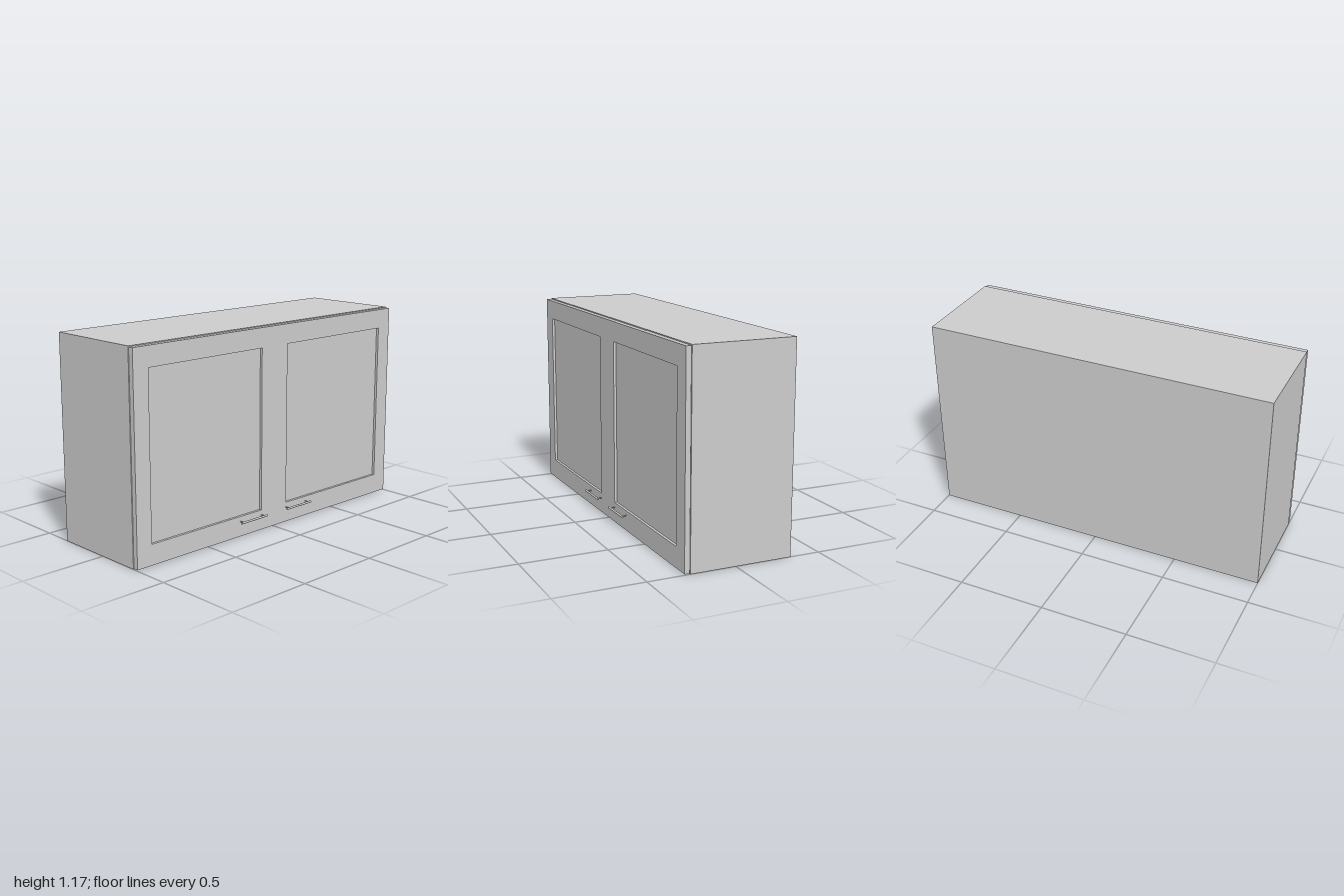
import * as THREE from 'three';

const material = new THREE.MeshStandardMaterial({ color: 0xcccccc });

function addMesh(parent, name, geometry, x, y, z) {
  const mesh = new THREE.Mesh(geometry, material);
  mesh.name = name;
  mesh.position.set(x, y, z);
  parent.add(mesh);
  return mesh;
}

// Rectangle outline between two corners
function rectangle(Type, x0, y0, x1, y1) {
  return new Type([[x0, y0], [x1, y0], [x1, y1], [x0, y1]].map(([x, y]) => new THREE.Vector2(x, y)));
}

// Door on side s (+1 left, -1 right): frame, recessed panel and bar handle
function createDoor(s) {
  const door = new THREE.Group();
  door.name = s > 0 ? 'leftDoor' : 'rightDoor';

  const [inner, outer] = s > 0 ? [0, 0.998] : [-0.998, 0];
  const frame = rectangle(THREE.Shape, inner, 0.004, outer, 1.163);
  const center = s * 0.5;
  frame.holes.push(rectangle(THREE.Path, center - 0.4, 0.12, center + 0.4, 1.05));
  addMesh(door, 'doorFrame',
    new THREE.ExtrudeGeometry(frame, { depth: 0.029, bevelEnabled: false }), 0, 0, 0.263);
  addMesh(door, 'doorPanel', new THREE.BoxGeometry(0.8, 0.93, 0.014), center, 0.585, 0.27);

  // Bar along x, held by two short posts
  const handle = new THREE.Group();
  handle.name = 'handle';
  handle.position.set(s * 0.182, 0.091, 0);
  const bar = addMesh(handle, 'handleBar', new THREE.CylinderGeometry(0.006, 0.006, 0.2, 16), 0, 0, 0.321);
  bar.rotation.z = Math.PI / 2;
  for (const x of [-0.082, 0.082]) {
    const post = addMesh(handle, 'handlePost', new THREE.CylinderGeometry(0.003, 0.003, 0.031, 12), x, 0, 0.3055);
    post.rotation.x = Math.PI / 2;
  }
  door.add(handle);
  return door;
}

export function createModel() {
  const model = new THREE.Group();
  model.name = 'wallCabinet';

  // Closed carcass behind the doors
  addMesh(model, 'carcass', new THREE.BoxGeometry(2, 1.168, 0.587), 0, 0.584, -0.0335);

  for (const s of [-1, 1]) model.add(createDoor(s));
  return model;
}
